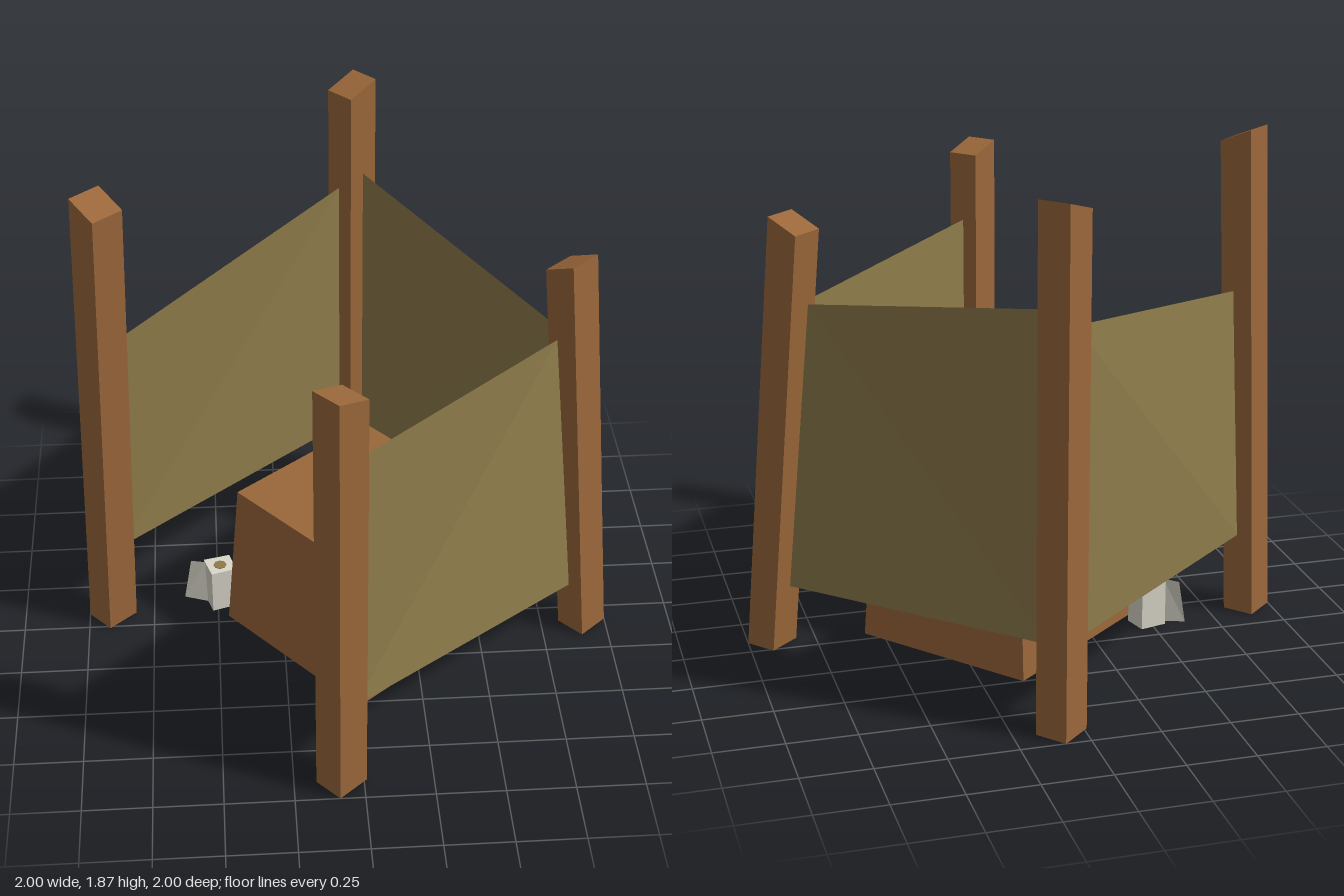
import * as THREE from 'three';

const material = (name, color, side = THREE.FrontSide) => {
  const m = new THREE.MeshStandardMaterial({ color, side });
  m.name = name;
  return m;
};

// Turns a list of four-cornered faces into flat-shaded geometry.
function quads(faces) {
  const pos = [];
  for (const [a, b, c, d] of faces) pos.push(...a, ...b, ...c, ...a, ...c, ...d);
  const g = new THREE.BufferGeometry();
  g.setAttribute('position', new THREE.Float32BufferAttribute(pos, 3));
  g.computeVertexNormals();
  return g;
}

// Four-sided prism between two rings, corners in the order back, right, front, left.
function prism(low, high, closedBelow = true) {
  const faces = low.map((p, i) => {
    const j = (i + 1) % 4;
    return [low[j], p, high[i], high[j]];
  });
  faces.push([...high].reverse());
  if (closedBelow) faces.push(low);
  return quads(faces);
}

// Square ring of a diagonal post; y may differ at each corner.
const ring = (x, z, ys) => [
  [x + 0.01, ys[0], z - 0.09], [x + 0.09, ys[1], z],
  [x - 0.01, ys[2], z + 0.09], [x - 0.09, ys[3], z],
];

export function createModel() {
  const model = new THREE.Group();
  const wood = material('wood', 0x9a673a, THREE.DoubleSide);
  const cloth = material('canvas', 0x8f7c4b, THREE.DoubleSide);
  const paper = material('paper', 0xdad8ca, THREE.DoubleSide);
  const add = (name, geometry, mat) => {
    const mesh = new THREE.Mesh(geometry, mat);
    mesh.name = name;
    model.add(mesh);
    return mesh;
  };

  // Posts: foot x, z, head x, z and the slanted head heights
  const posts = [
    ['backPost', 0.08, -0.91, 0.08, -0.91, [1.86, 1.86, 1.82, 1.82]],
    ['frontPost', -0.08, 0.91, -0.08, 0.91, [1.63, 1.63, 1.67, 1.67]],
    ['rightPost', -0.91, -0.08, -0.86, -0.025, [1.87, 1.82, 1.82, 1.87]],
    ['leftPost', 0.91, 0.08, 0.785, 0.05, [1.57, 1.625, 1.625, 1.57]],
  ];
  for (const [name, fx, fz, hx, hz, ys] of posts) {
    add(name, prism(ring(fx, fz, [0, 0, 0, 0]), ring(hx, hz, ys)), wood);
  }

  // Cloth walls stretched between posts, leaving the front right side open
  const walls = [
    ['backRightWall', [-0.855, 0.31, -0.11], [0.03, 0.31, -0.87], [0.03, 1.425, -0.87], [-0.82, 1.265, -0.075]],
    ['backLeftWall', [0.12, 0.31, -0.865], [0.845, 0.235, 0.025], [0.75, 1.31, 0.005], [0.12, 1.485, -0.865]],
    ['frontLeftWall', [-0.03, 0.31, 0.865], [0.85, 0.21, 0.115], [0.745, 1.3, 0.085], [-0.03, 1.365, 0.865]],
  ];
  for (const [name, ...corners] of walls) add(name, quads([corners]), cloth);

  // Tapered seat box, open below
  const boxLow = [[0.1, 0, -0.5], [0.565, 0, 0.05], [0.01, 0, 0.525], [-0.46, 0, -0.035]];
  const boxHigh = [[0.1, 0.6, -0.455], [0.52, 0.6, 0.05], [0.01, 0.6, 0.475], [-0.41, 0.6, -0.03]];
  add('seatBox', prism(boxLow, boxHigh, false), wood);

  // Square paper roll with its core and a loose sheet
  const roll = (y) => [[-0.45, y, -0.19], [-0.425, y, -0.1], [-0.52, y, -0.07], [-0.55, y, -0.165]];
  add('paperRoll', prism(roll(0), roll(0.18)), paper);
  const core = add('rollCore', new THREE.CylinderGeometry(0.025, 0.025, 0.004, 8), cloth);
  core.position.set(-0.487, 0.181, -0.128);
  add('looseSheet', quads([
    [[-0.63, 0, -0.165], [-0.535, 0, -0.13], [-0.545, 0.18, -0.15], [-0.6, 0.17, -0.175]],
  ]), paper);

  return model;
}
